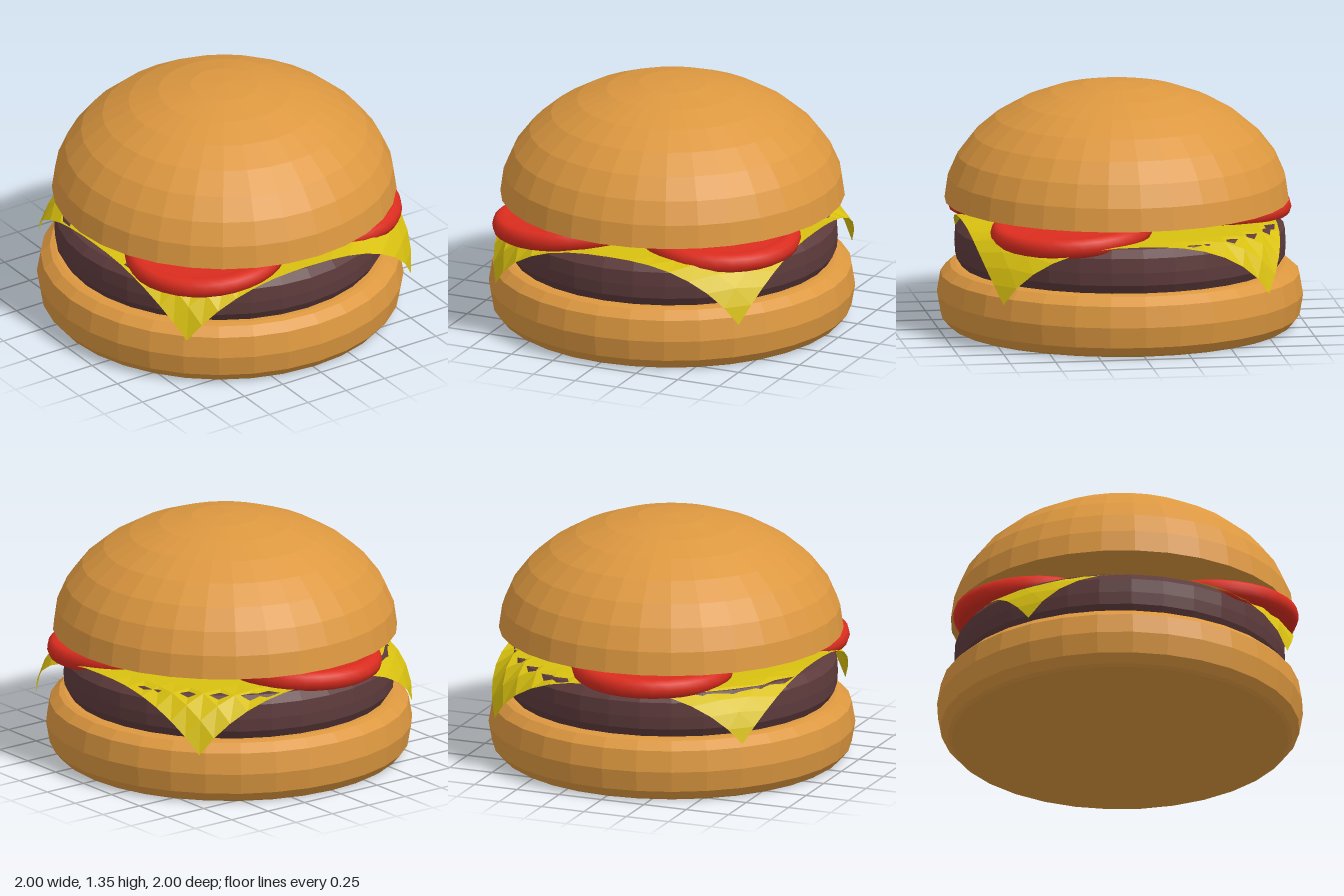
import * as THREE from 'three';

const material = (color, flatShading = true, side = THREE.FrontSide) =>
  new THREE.MeshStandardMaterial({ color, flatShading, side });

// Turns a bottom-to-top list of [radius, height] into a named round part.
function turned(name, profile, mat, segments = 32) {
  const points = profile.map(([r, y]) => new THREE.Vector2(r, y));
  const mesh = new THREE.Mesh(new THREE.LatheGeometry(points, segments), mat);
  mesh.name = name;
  return mesh;
}

// Square slice whose corners curl down over the round patty.
function makeCheese() {
  const half = 0.85, bendRadius = 0.85;
  const geometry = new THREE.PlaneGeometry(2 * half, 2 * half, 14, 14).rotateX(-Math.PI / 2);
  const pos = geometry.attributes.position;
  for (let i = 0; i < pos.count; i++) {
    const x = pos.getX(i), z = pos.getZ(i);
    const r = Math.hypot(x, z);
    const s = r - bendRadius;
    if (s <= 0) continue;
    // The front left corner hangs lowest, the opposite one highest.
    const hang = 1.3 + 0.09 * (Math.sign(x) + Math.sign(z)) / 2;
    const k = (bendRadius + s - 1.35 * s * s) / r;
    pos.setXYZ(i, x * k, -hang * Math.pow(s, 1.4), z * k);
  }
  geometry.computeVertexNormals();
  const cheese = new THREE.Mesh(geometry, material(0xd8c010, true, THREE.DoubleSide));
  cheese.name = 'cheese';
  cheese.position.set(0.02, 0.597, 0.02);
  return cheese;
}

export function createModel() {
  const burger = new THREE.Group();
  burger.name = 'burger';
  const bun = material(0xdd9840);

  // Bottom bun with bevelled rims
  burger.add(turned('bottomBun', [
    [0, 0], [0.92, 0], [0.94, 0.012], [0.98, 0.06], [1, 0.175],
    [0.98, 0.29], [0.93, 0.335], [0.9, 0.342], [0, 0.342],
  ], bun));

  // Patty
  burger.add(turned('patty', [
    [0, 0.342], [0.87, 0.342], [0.9, 0.39], [0.905, 0.46],
    [0.9, 0.54], [0.86, 0.585], [0, 0.587],
  ], material(0x5e3b3c)));

  burger.add(makeCheese());

  // Tomato slices: rounded rim around a slightly sunken middle
  const red = material(0xdc2d1f, false);
  const slice = [
    [0, -0.035], [0.34, -0.035], [0.37, -0.052], [0.41, -0.052], [0.435, -0.035], [0.445, 0],
    [0.435, 0.035], [0.41, 0.052], [0.37, 0.052], [0.34, 0.035], [0, 0.035],
  ];
  const slices = [
    { at: [-0.385, 0.622, 0.445], tilt: [0.01, 0, 0.08] },
    { at: [0.44, 0.62, 0.33], tilt: [0.06, 0, -0.06] },
    { at: [-0.1, 0.632, -0.51], tilt: [-0.02, 0, 0.01] },
  ];
  slices.forEach(({ at, tilt }, i) => {
    const tomato = turned('tomatoSlice' + (i + 1), slice, red);
    tomato.position.set(...at);
    tomato.rotation.set(...tilt);
    burger.add(tomato);
  });

  // Domed top bun with a flat underside, set slightly off centre
  const dome = [[0, 0]];
  for (let i = 0; i <= 8; i++) {
    const a = (i / 8) * Math.PI / 2;
    dome.push([i === 8 ? 0 : 0.94 * Math.cos(a), 0.65 * Math.sin(a)]);
  }
  const topBun = turned('topBun', dome, bun);
  topBun.position.set(0.013, 0.7, 0.02);
  burger.add(topBun);

  return burger;
}
